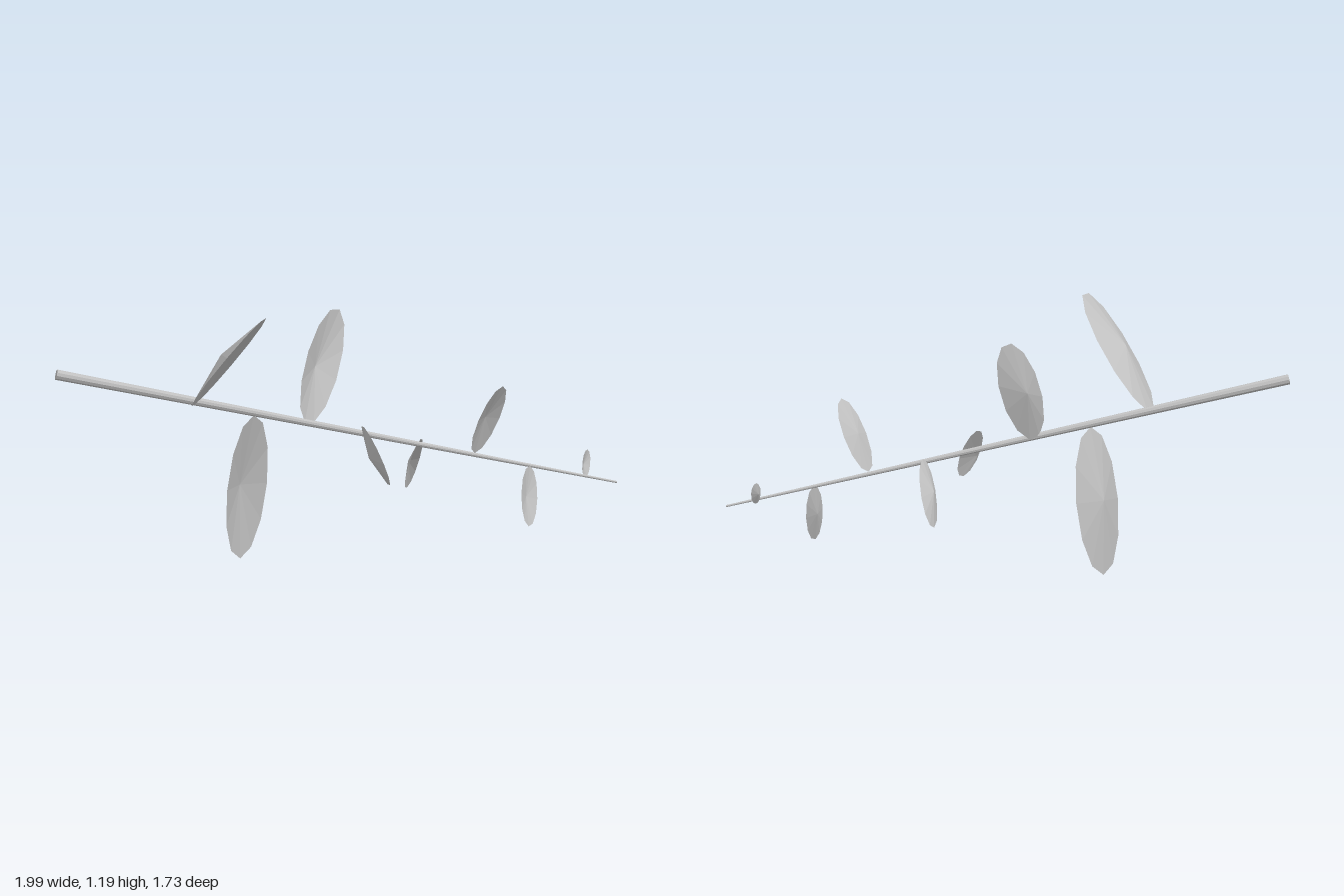
import * as THREE from 'three';

const v = (x, y, z) => new THREE.Vector3(x, y, z);

// Leaf: shallow open cone stretched into an ellipse, centred at c, tip at c + a
function makeLeaf(c, a, material) {
  const length = a.length();
  const width = a.clone().cross(v(0, 0, 1)).setLength(length * 0.41);
  const bulge = a.clone().cross(width).setLength(length * 0.13);
  const geometry = new THREE.ConeGeometry(1, 1, 12, 1, true).translate(0, 0.5, 0);
  geometry.applyMatrix4(new THREE.Matrix4().makeBasis(width, bulge, a));
  geometry.computeVertexNormals();
  const leaf = new THREE.Mesh(geometry, material);
  leaf.position.copy(c);
  return leaf;
}

export function createModel() {
  const group = new THREE.Group();
  const grey = new THREE.MeshStandardMaterial({
    name: 'grey', color: 0xc0c0c0, flatShading: true, side: THREE.DoubleSide,
  });

  // Tapering straight stem
  const start = v(-0.98, 0.88, -0.85);
  const end = v(0.945, 0.335, 0.855);
  const direction = end.clone().sub(start);
  const stem = new THREE.Mesh(
    new THREE.CylinderGeometry(0.005, 0.024, direction.length(), 10), grey);
  stem.name = 'stem';
  stem.position.copy(start).lerp(end, 0.5);
  stem.quaternion.setFromUnitVectors(v(0, 1, 0), direction.normalize());
  group.add(stem);

  // Leaves from the thick end to the thin end: centre, half length
  const leaves = [
    [v(-0.618, 0.968, -0.125), v(-0.112, 0.227, 0.287)],
    [v(-0.293, 0.34, -0.297), v(0.008, -0.335, -0.048)],
    [v(0.063, 0.87, -0.153), v(0.187, 0.232, -0.057)],
    [v(-0.082, 0.518, 0.295), v(-0.148, -0.064, 0.207)],
    [v(0.395, 0.41, 0.11), v(0.133, -0.115, -0.134)],
    [v(0.458, 0.643, 0.507), v(0.005, 0.161, 0.08)],
    [v(0.595, 0.288, 0.632), v(-0.044, -0.131, 0.034)],
    [v(0.915, 0.407, 0.697), v(0.083, 0.039, -0.053)],
  ];
  leaves.forEach(([centre, half], i) => {
    const leaf = makeLeaf(centre, half, grey);
    leaf.name = `leaf${i + 1}`;
    group.add(leaf);
  });
  return group;
}
